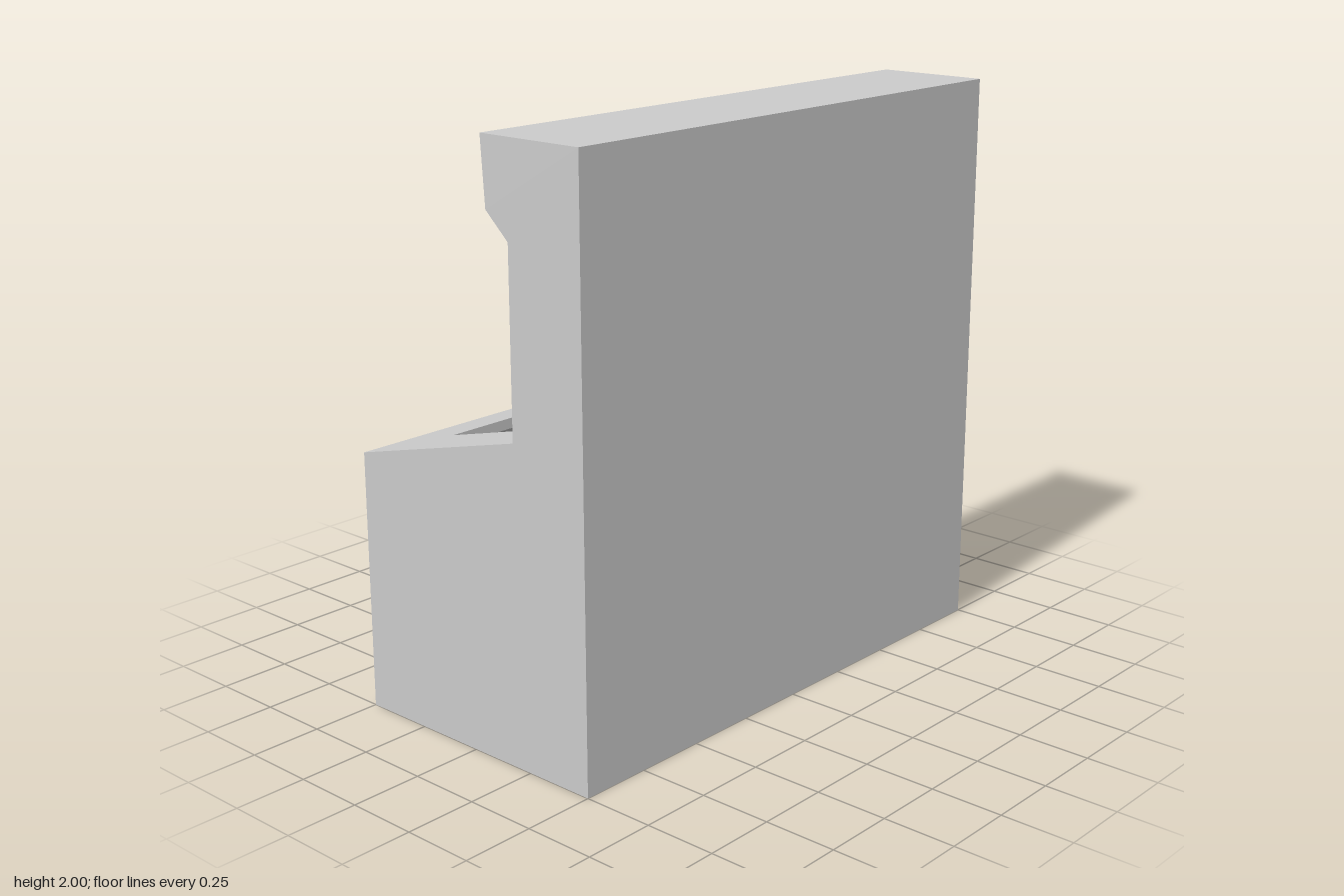
import * as THREE from 'three';

const SLOPE = 0.2553;   // rise of the desk per unit of x
const DEPTH = 0.04;     // depth of the tray pocket
const deskY = (x) => 0.895 + SLOPE * (x + 0.5);

const shapeFrom = (pts) => new THREE.Shape(pts.map(([x, y]) => new THREE.Vector2(x, y)));

// Extrudes an x-y profile along z, centred on z = 0
function extrudeProfile(pts, length) {
  const g = new THREE.ExtrudeGeometry(shapeFrom(pts), { depth: length, bevelEnabled: false });
  return g.translate(0, 0, -length / 2);
}

// Rectangle in plan; z is flipped because the shape is laid flat afterwards
const planRect = (x0, x1, z0, z1) => [[x0, -z1], [x1, -z1], [x1, -z0], [x0, -z0]];

// Lays a plan shape flat with the given thickness and shears it to follow the desk slope
function slopedSlab(shape, thickness, drop) {
  const g = new THREE.ExtrudeGeometry(shape, { depth: thickness, bevelEnabled: false });
  g.rotateX(-Math.PI / 2);
  const p = g.attributes.position;
  for (let i = 0; i < p.count; i++) p.setY(i, p.getY(i) + deskY(p.getX(i)) - drop);
  g.computeVertexNormals();
  return g;
}

export function createModel() {
  const model = new THREE.Group();
  model.name = 'console';

  const bodyGrey = new THREE.MeshStandardMaterial({ name: 'light grey', color: 0xcacaca });
  const darkGrey = new THREE.MeshStandardMaterial({ name: 'dark grey', color: 0x646464 });
  const blue = new THREE.MeshStandardMaterial({ name: 'screen blue', color: 0x2792c8 });

  const add = (name, geometry, material) => {
    const mesh = new THREE.Mesh(geometry, material);
    mesh.name = name;
    model.add(mesh);
    return mesh;
  };

  // Cabinet with hooded back panel, up to the underside of the desk top
  add('cabinet', extrudeProfile([
    [-0.5, 0], [0.5, 0], [0.5, 2], [0.097, 2], [0.113, 1.775], [0.205, 1.69],
    [0.205, deskY(0.205) - DEPTH], [-0.5, deskY(-0.5) - DEPTH],
  ], 2), bodyGrey);

  // Sloped desk top with an opening for the tray
  const desk = shapeFrom(planRect(-0.5, 0.205, -1, 1));
  desk.holes.push(new THREE.Path(
    planRect(-0.3, 0.005, 0.205, 0.79).reverse().map(([x, y]) => new THREE.Vector2(x, y))));
  add('deskTop', slopedSlab(desk, DEPTH, DEPTH), bodyGrey);

  // Dark floor of the sunken tray
  add('trayFloor', slopedSlab(shapeFrom(planRect(-0.3, 0.005, 0.205, 0.79)), 0.004, DEPTH), darkGrey);

  // Raised control pad lying on the slope
  const pad = add('controlPad', new THREE.BoxGeometry(0.58, 0.024, 0.85), darkGrey);
  pad.position.set(-0.152, deskY(-0.152) + 0.012, -0.505);
  pad.rotation.z = Math.atan(SLOPE);

  // Wide screen, leaning slightly forward at the top
  add('screen', extrudeProfile([
    [0.193, 1.1], [0.207, 1.1], [0.207, 1.67], [0.186, 1.67],
  ], 1.96), blue);

  return model;
}
